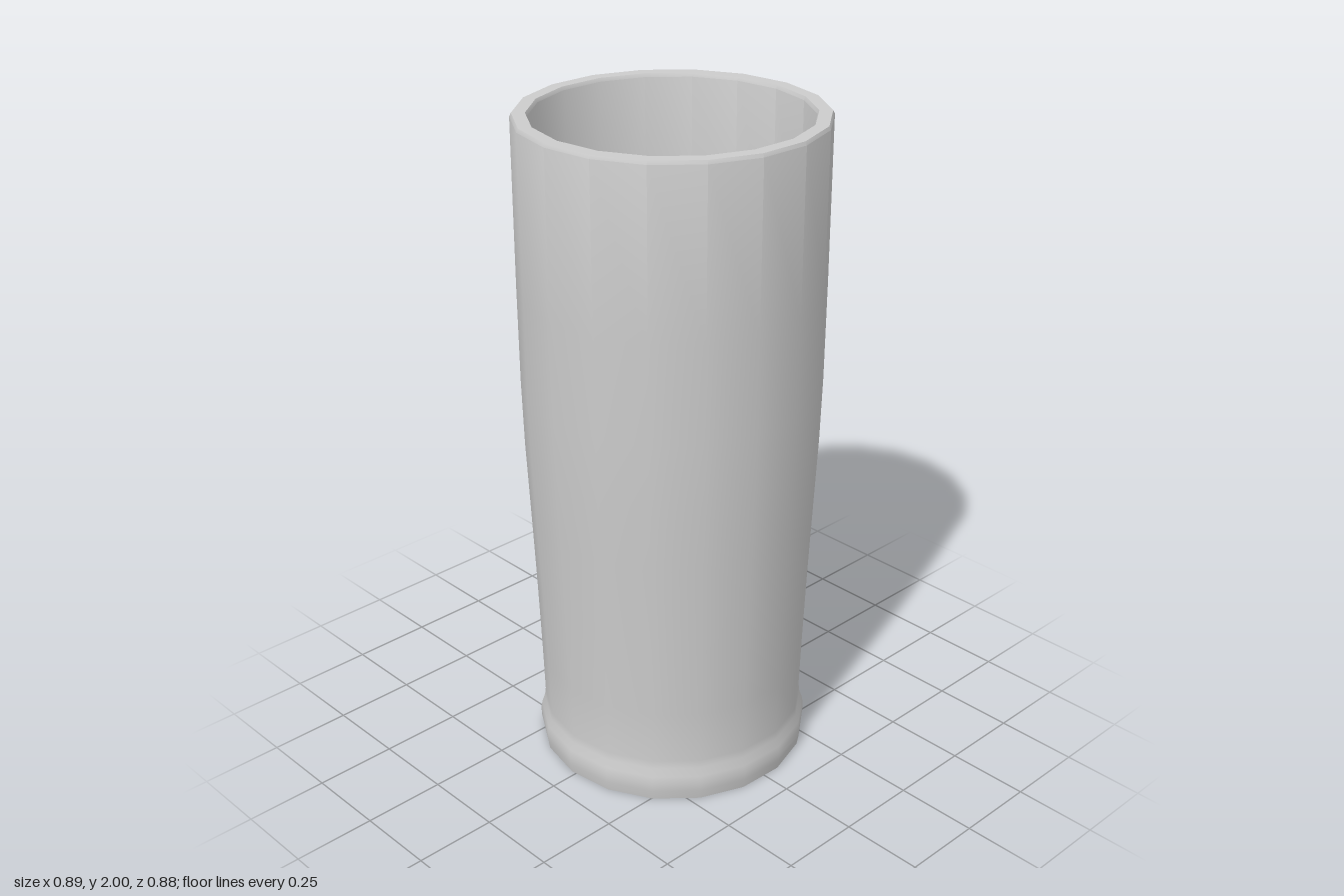
import * as THREE from 'three';
import { toCreasedNormals } from 'three/addons/utils/BufferGeometryUtils.js';

const SIDES = 18;
const PHASE = THREE.MathUtils.degToRad(7.8);

// outer wall from foot to rim, as [radius, height]
const outer = [
  [0.412, 0], [0.417, 0.03], [0.418, 0.055], [0.414, 0.08], [0.405, 0.105], [0.402, 0.13],
  [0.407, 0.3], [0.416, 0.55], [0.427, 0.8], [0.436, 1.0], [0.441, 1.2], [0.443, 1.5], [0.443, 1.99],
];
// inner wall from rim to floor, following the outer one
const inner = [
  [0.395, 1.99], [0.396, 1.5], [0.394, 1.2], [0.391, 1.0], [0.383, 0.8], [0.373, 0.55],
  [0.364, 0.3], [0.358, 0.13], [0.361, 0.105], [0.368, 0.08], [0.372, 0.05],
];

export function createModel() {
  const group = new THREE.Group();
  group.name = 'tumbler';

  // closed profile: underside, outer wall, chamfered rim, inner wall, floor
  const profile = [[0, 0], ...outer, [0.438, 2], [0.4, 2], ...inner, [0, 0.05]]
    .map(([r, y]) => new THREE.Vector2(r, y));

  const geometry = toCreasedNormals(
    new THREE.LatheGeometry(profile, SIDES, PHASE),
    THREE.MathUtils.degToRad(30)
  );
  const glass = new THREE.Mesh(geometry, new THREE.MeshStandardMaterial({ color: 0xcccccc }));
  glass.name = 'glassBody';
  group.add(glass);
  return group;
}
